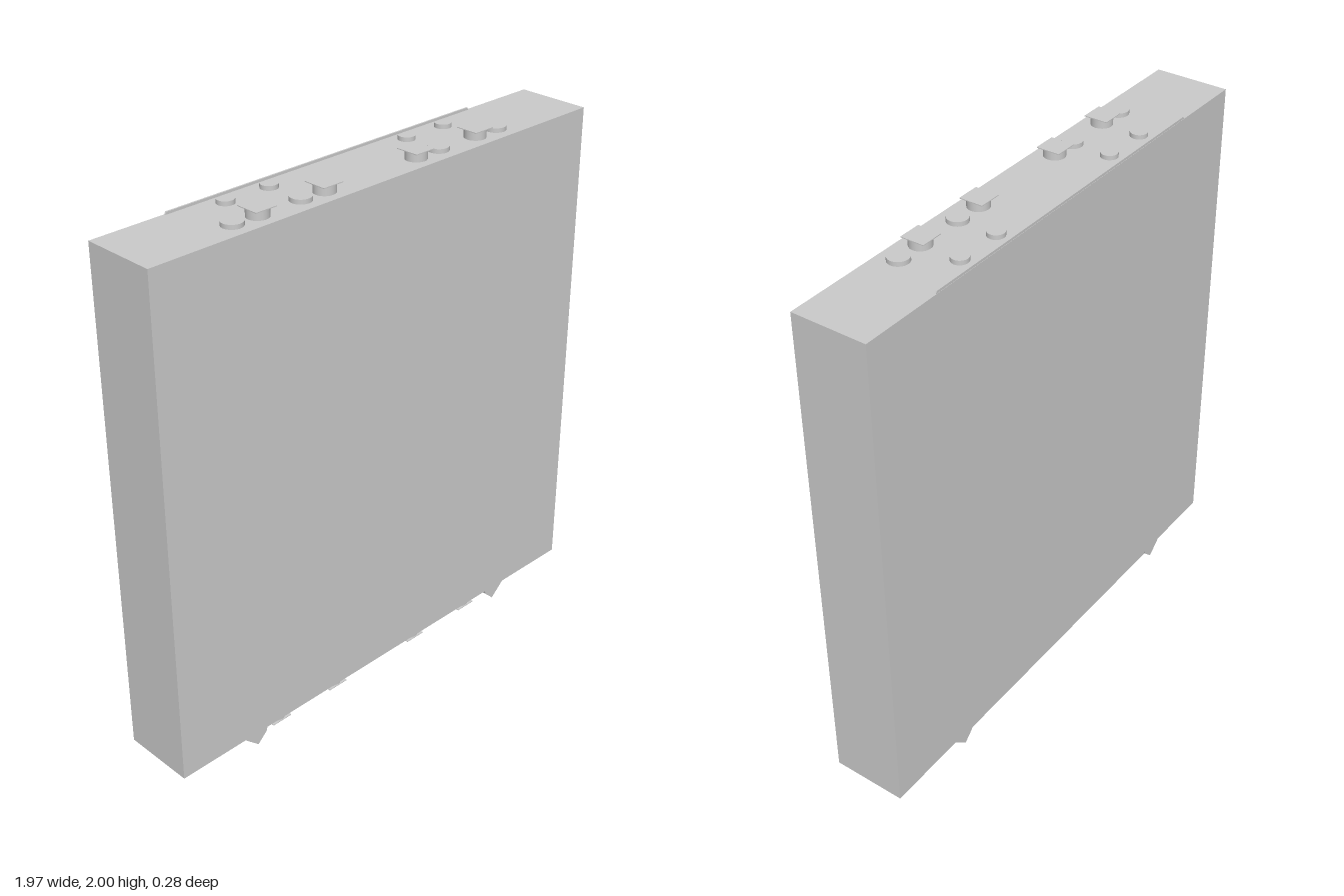
import * as THREE from 'three';

const grey = new THREE.MeshStandardMaterial({ color: 0xcccccc });
const TOP = 1.965, BOTTOM = 0.055, DEPTH = 0.28;

export function createModel() {
  const model = new THREE.Group();

  const add = (name, geometry, x, y, z) => {
    const mesh = new THREE.Mesh(geometry, grey);
    mesh.name = name;
    mesh.position.set(x, y, z);
    model.add(mesh);
    return mesh;
  };

  // Open round collar between two heights
  const collar = (name, x, z, r, y0, y1) =>
    add(name, new THREE.CylinderGeometry(r, r, y1 - y0, 20, 1, true), x, (y0 + y1) / 2, z);

  // Thin plate cut from an outline in x and y
  const plate = (name, points, z, thickness) => {
    const shape = new THREE.Shape(points.map(([x, y]) => new THREE.Vector2(x, y)));
    const geometry = new THREE.ExtrudeGeometry(shape, { depth: thickness, bevelEnabled: false });
    return add(name, geometry, 0, 0, z);
  };

  // Main slab
  add('slab', new THREE.BoxGeometry(1.965, TOP - BOTTOM, DEPTH), 0, (TOP + BOTTOM) / 2, 0);

  // Posts with square caps on both ends
  for (const x of [-0.505, -0.225, 0.19, 0.48]) {
    collar('topPost', x, 0.07, 0.039, TOP, 1.998);
    add('topCap', new THREE.BoxGeometry(0.085, 0.003, 0.088), x, 1.9985, 0.068);
    collar('bottomPost', x, 0.07, 0.039, 0.013, BOTTOM);
    add('bottomCap', new THREE.BoxGeometry(0.085, 0.003, 0.088), x, 0.0125, 0.068);
  }

  // Low open collars, front row
  for (const x of [-0.605, -0.325, 0.3, 0.587]) collar('frontTopCollar', x, 0.068, 0.038, TOP, 1.981);
  for (const x of [-0.325, 0.3]) collar('frontBottomCollar', x, 0.068, 0.038, 0.032, BOTTOM);

  // Low open collars, back row
  for (const x of [-0.505, -0.325, 0.3, 0.48]) {
    collar('backTopCollar', x, -0.08, 0.031, TOP, 1.981);
    collar('backBottomCollar', x, -0.08, 0.031, 0.032, BOTTOM);
  }

  // Thin ridges along the back edge
  plate('topRidge', [[-0.7, TOP], [0.67, TOP], [0.665, 1.974], [-0.695, 1.974]], -0.139, 0.006);
  plate('bottomRidge', [[-0.68, 0.036], [0.65, 0.036], [0.675, BOTTOM], [-0.705, BOTTOM]], -0.134, 0.006);

  // Pointed feet along the front and back edges
  for (const z of [0.12, -0.139]) {
    for (const [x, side] of [[-0.645, -1], [0.61, 1]]) {
      const outline = [[x + side * 0.06, BOTTOM], [x, 0], [x - side * 0.04, 0.038], [x - side * 0.045, BOTTOM]];
      plate('pointedFoot', outline, z, 0.019);
    }
  }

  return model;
}
